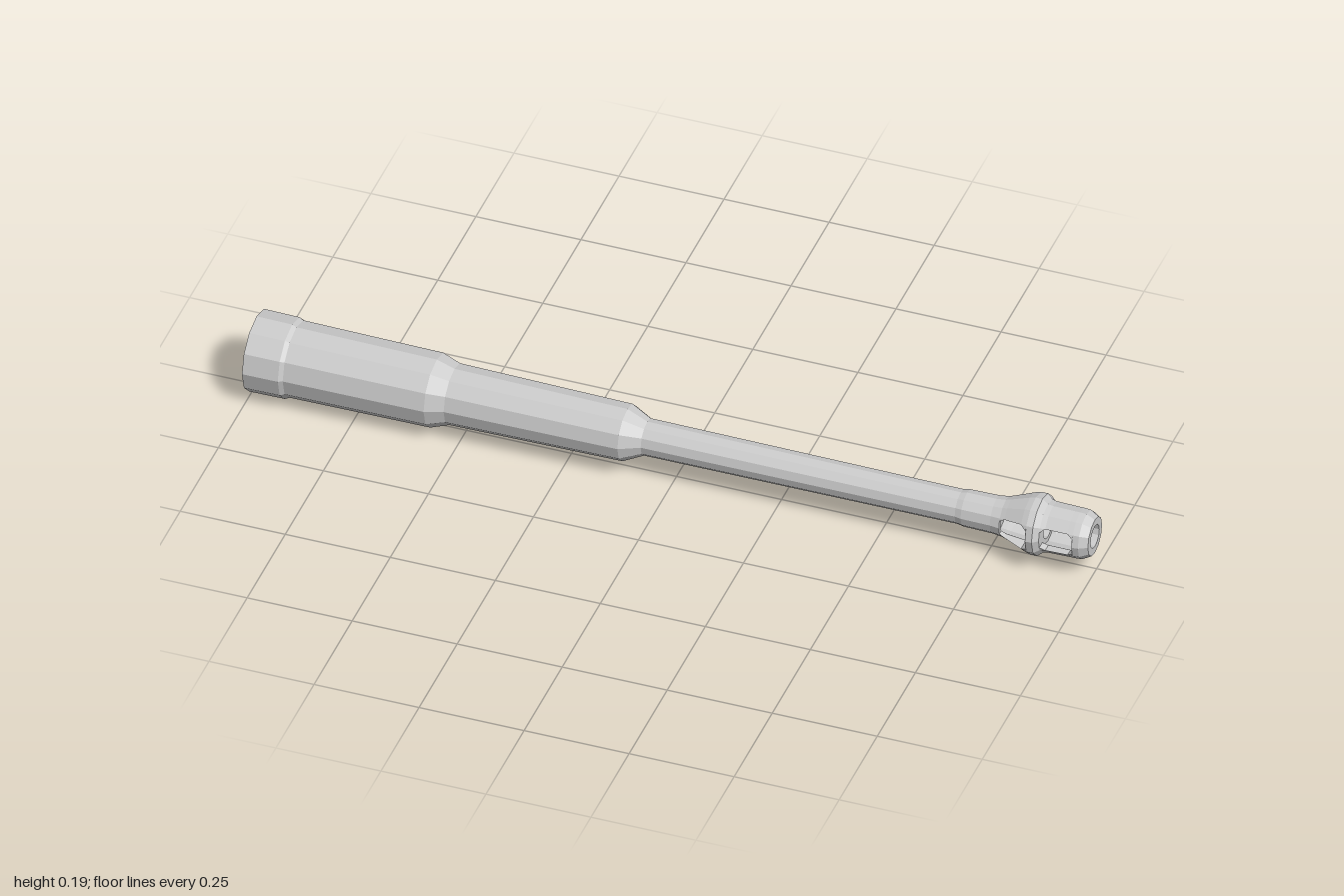
import * as THREE from 'three';

const SIDES = 12;
const material = new THREE.MeshStandardMaterial({ color: 0xcccccc, flatShading: true, side: THREE.DoubleSide });

// Turned part along the x axis from [x, radius] pairs
function turned(name, profile) {
  const geo = new THREE.LatheGeometry(profile.map(([x, r]) => new THREE.Vector2(r, x)), SIDES);
  geo.rotateZ(-Math.PI / 2);
  const mesh = new THREE.Mesh(geo, material);
  mesh.name = name;
  return mesh;
}

// Half-ring cross-section at x: outer arc, then inner arc back.
// "open" is the angle in degrees by which the side window cuts into the arc.
function halfRing([x, outer, inner, open]) {
  const angles = [open, 30, 60, 90, 120, 150, 180 - open].map(THREE.MathUtils.degToRad);
  const out = angles.map(a => [x, outer * Math.sin(a), outer * Math.cos(a)]);
  const ins = angles.map(a => [x, inner * Math.sin(a), inner * Math.cos(a)]);
  // window edges run level from outside to inside
  const y = outer * Math.sin(angles[0]);
  const z = Math.sqrt(Math.max(inner * inner - y * y, 0));
  ins[0] = [x, y, z];
  ins[6] = [x, y, -z];
  for (const i of [1, 5]) if (ins[i][1] < y) ins[i] = [...ins[i === 1 ? 0 : 6]];
  return [...out, ...ins.reverse()];
}

// Skin a row of closed sections
function loft(sections) {
  const n = sections[0].length;
  const index = [];
  for (let s = 0; s < sections.length - 1; s++) {
    for (let i = 0; i < n; i++) {
      const a = s * n + i, b = s * n + (i + 1) % n;
      index.push(a, a + n, b, b, a + n, b + n);
    }
  }
  const geo = new THREE.BufferGeometry();
  geo.setAttribute('position', new THREE.Float32BufferAttribute(sections.flat(2), 3));
  geo.setIndex(index);
  geo.computeVertexNormals();
  return geo;
}

export function createModel() {
  const group = new THREE.Group();
  const barrel = new THREE.Group();
  barrel.name = 'barrelAssembly';

  // Stepped sleeves, open at the rear
  barrel.add(turned('rearSleeve', [
    [-1, 0.095], [-0.915, 0.094], [-0.905, 0.089], [-0.57, 0.086], [-0.525, 0.07],
  ]));
  barrel.add(turned('middleSleeve', [[-0.53, 0.071], [-0.115, 0.066], [-0.068, 0.043]]));
  barrel.add(turned('barrelTube', [[-0.07, 0.043], [0.68, 0.04], [0.695, 0.043], [0.765, 0.044]]));

  // Muzzle brake: stations of x, outer radius, inner radius, window angle
  const stations = [
    [0.765, 0.044, 0.034, 0], [0.788, 0.047, 0.036, 0],
    [0.788, 0.047, 0.036, 22], [0.8, 0.051, 0.038, 30],
    [0.845, 0.068, 0.042, 30], [0.859, 0.072, 0.042, 20],
    [0.859, 0.072, 0.042, 0], [0.859, 0.072, 0.03, 0],
    [0.875, 0.072, 0.03, 0], [0.888, 0.061, 0.03, 0],
    [0.888, 0.061, 0.042, 0], [0.888, 0.061, 0.042, 20],
    [0.9, 0.059, 0.042, 30], [0.953, 0.058, 0.042, 30],
    [0.965, 0.058, 0.042, 20], [0.965, 0.058, 0.042, 0],
    [0.965, 0.058, 0.028, 0], [0.98, 0.057, 0.028, 0],
    [1, 0.046, 0.028, 0],
  ];
  const half = loft([...stations.map(halfRing), halfRing([1, 0.028, 0.028, 0])]);
  const brake = new THREE.Group();
  brake.name = 'muzzleBrake';
  for (const turn of [0, Math.PI]) {
    const mesh = new THREE.Mesh(half, material);
    mesh.name = turn ? 'lowerBrakeHalf' : 'upperBrakeHalf';
    mesh.rotation.x = turn;
    brake.add(mesh);
  }
  barrel.add(brake);

  // Closed end of the bore behind the brake
  const floor = new THREE.Mesh(new THREE.CircleGeometry(0.036, SIDES), material);
  floor.name = 'boreFloor';
  floor.rotation.y = Math.PI / 2;
  floor.position.x = 0.775;
  barrel.add(floor);

  // Slight tilt of the whole barrel
  barrel.position.set(0, 0.097, 0.005);
  barrel.rotation.set(0, -0.006, 0.002);
  group.add(barrel);
  return group;
}
